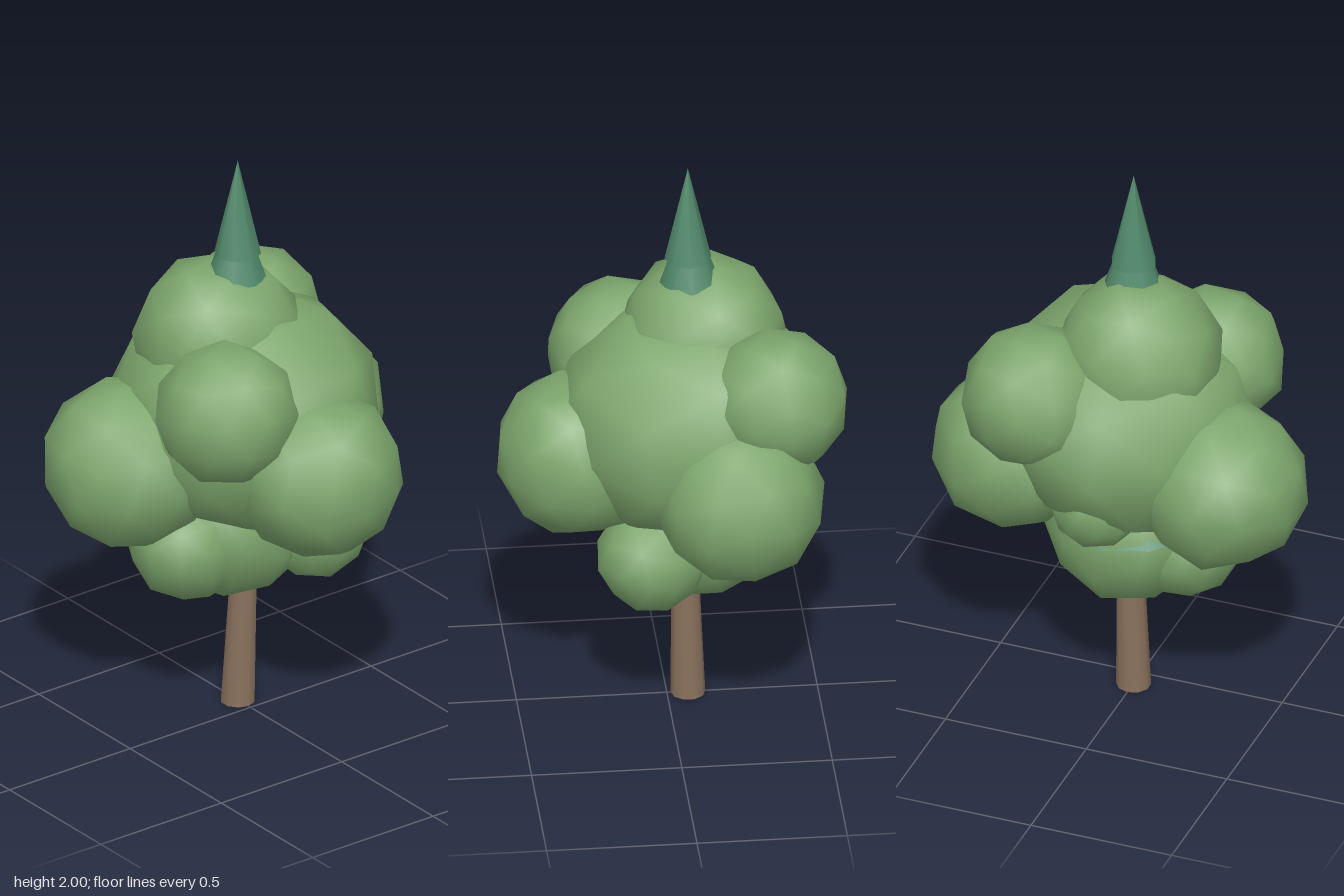
import * as THREE from 'three';
import { mergeVertices } from 'three/addons/utils/BufferGeometryUtils.js';

const mat = (name, color) => {
  const m = new THREE.MeshStandardMaterial({ color });
  m.name = name;
  return m;
};

// Lumpy low-poly ball with smooth normals
function lumpGeometry(radius, seed) {
  let g = new THREE.IcosahedronGeometry(1, 1);
  g.deleteAttribute('uv');
  g.deleteAttribute('normal');
  g = mergeVertices(g, 1e-3);
  g.rotateY(seed * 1.7);
  g.rotateX(seed * 0.9);
  const p = g.attributes.position;
  const v = new THREE.Vector3();
  for (let i = 0; i < p.count; i++) {
    v.fromBufferAttribute(p, i);
    const wobble = 1.02 + 0.035 * Math.sin(v.x * 4 + seed * 2.3) * Math.cos(v.y * 3 + v.z * 4 - seed);
    v.multiplyScalar(radius * wobble);
    p.setXYZ(i, v.x, v.y, v.z);
  }
  g.computeVertexNormals();
  return g;
}

export function createModel() {
  const group = new THREE.Group();
  const leaf = mat('leaf green', 0x7da66d);
  const needle = mat('needle teal', 0x528a6c);
  const bark = mat('bark brown', 0x8a725d);
  needle.side = THREE.DoubleSide;

  const add = (name, geometry, material, x, y, z) => {
    const mesh = new THREE.Mesh(geometry, material);
    mesh.name = name;
    mesh.position.set(x, y, z);
    group.add(mesh);
    return mesh;
  };

  // Trunk: tapered, leaning slightly
  const trunk = new THREE.CylinderGeometry(0.035, 0.058, 0.9, 10);
  const tp = trunk.attributes.position;
  for (let i = 0; i < tp.count; i++) {
    const t = tp.getY(i) / 0.9 + 0.5;
    tp.setX(i, tp.getX(i) + 0.03 * t);
    tp.setZ(i, tp.getZ(i) + 0.02 * t);
  }
  add('trunk', trunk, bark, 0, 0.45, -0.07);

  // Spire: tip and collar above the crown, one wide tier mostly buried below
  add('spireTip', new THREE.ConeGeometry(0.078, 0.34, 8), needle, 0, 1.83, -0.07);
  add('spireCollar', new THREE.CylinderGeometry(0.058, 0.1, 0.12, 8), needle, 0, 1.63, -0.075);
  add('lowerTier', new THREE.ConeGeometry(0.265, 0.4, 10), needle, -0.01, 0.925, -0.135);

  // Crown: [name, x, y, z, radius]
  const lumps = [
    ['crownTop', -0.04, 1.34, -0.12, 0.28],
    ['crownFront', 0.055, 0.97, 0.295, 0.28],
    ['crownRight', -0.36, 0.945, -0.19, 0.288],
    ['crownLeft', 0.365, 0.94, -0.205, 0.28],
    ['crownUpperFront', -0.2, 1.21, 0.14, 0.24],
    ['crownUpperBack', 0.25, 1.24, -0.34, 0.24],
    ['crownLowerFront', 0.21, 0.65, 0.07, 0.185],
    ['crownLowerSide', -0.19, 0.64, -0.1, 0.2],
    ['crownBottom', 0.0, 0.69, -0.11, 0.285],
    ['crownLowerBack', 0.03, 0.87, -0.32, 0.16],
  ];
  lumps.forEach(([name, x, y, z, r], i) => add(name, lumpGeometry(r, i + 1), leaf, x, y, z));

  // Central mass joining the lumps
  add('crownCore', lumpGeometry(0.45, 11), leaf, 0.03, 1.08, -0.075).scale.set(1, 0.91, 1.02);
  return group;
}
